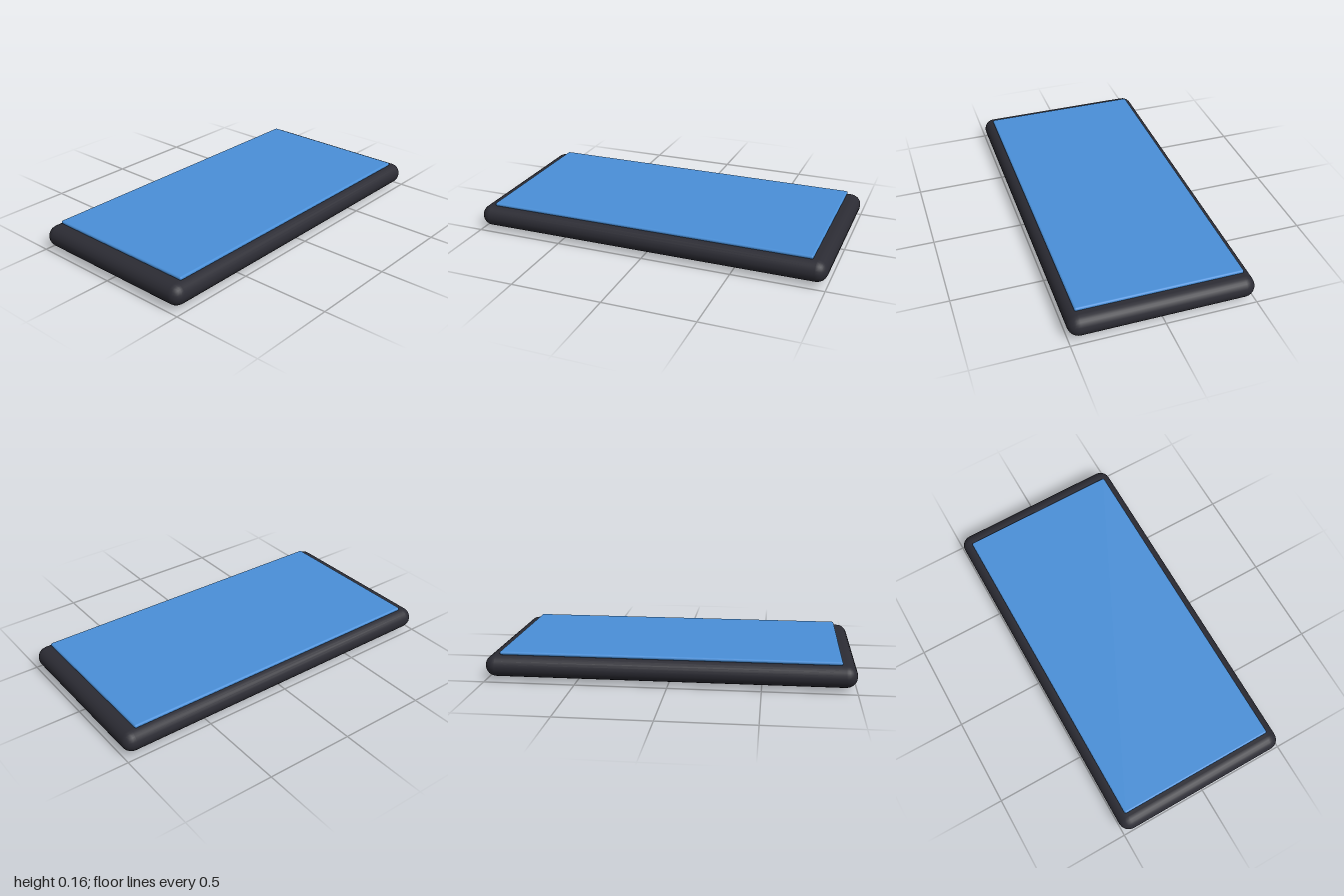
import * as THREE from 'three';
import { RoundedBoxGeometry } from 'three/addons/geometries/RoundedBoxGeometry.js';

const material = (name, color) => {
  const m = new THREE.MeshStandardMaterial({ color });
  m.name = name;
  return m;
};

export function createModel() {
  const group = new THREE.Group();
  group.name = 'phone';
  const casing = material('dark casing', 0x2c2c34);
  const glass = material('blue screen', 0x4a90d9);

  const add = (name, geometry, mat, x, y, z) => {
    const mesh = new THREE.Mesh(geometry, mat);
    mesh.name = name;
    mesh.position.set(x, y, z);
    group.add(mesh);
  };

  // Pill-edged body lying flat, with the screen plate on top
  add('body', new RoundedBoxGeometry(1, 0.12, 2, 3, 0.06), casing, 0, 0.081, 0);
  add('screen', new RoundedBoxGeometry(0.904, 0.02, 1.84, 3, 0.01), glass, 0, 0.15, 0);

  // Camera bump on the underside: a disc with a softened lower rim
  const r = 0.079, b = 0.005;
  const profile = [new THREE.Vector2(0, 0), new THREE.Vector2(r - b - 0.001, 0)];
  for (let i = 0; i <= 4; i++) {
    const a = (i / 4) * Math.PI / 2;
    profile.push(new THREE.Vector2(r - b + b * Math.sin(a), b - b * Math.cos(a)));
  }
  profile.push(new THREE.Vector2(r, b + 0.001), new THREE.Vector2(r, 0.03));
  add('cameraBump', new THREE.LatheGeometry(profile, 40), casing, 0.266, 0, -0.73);

  return group;
}
